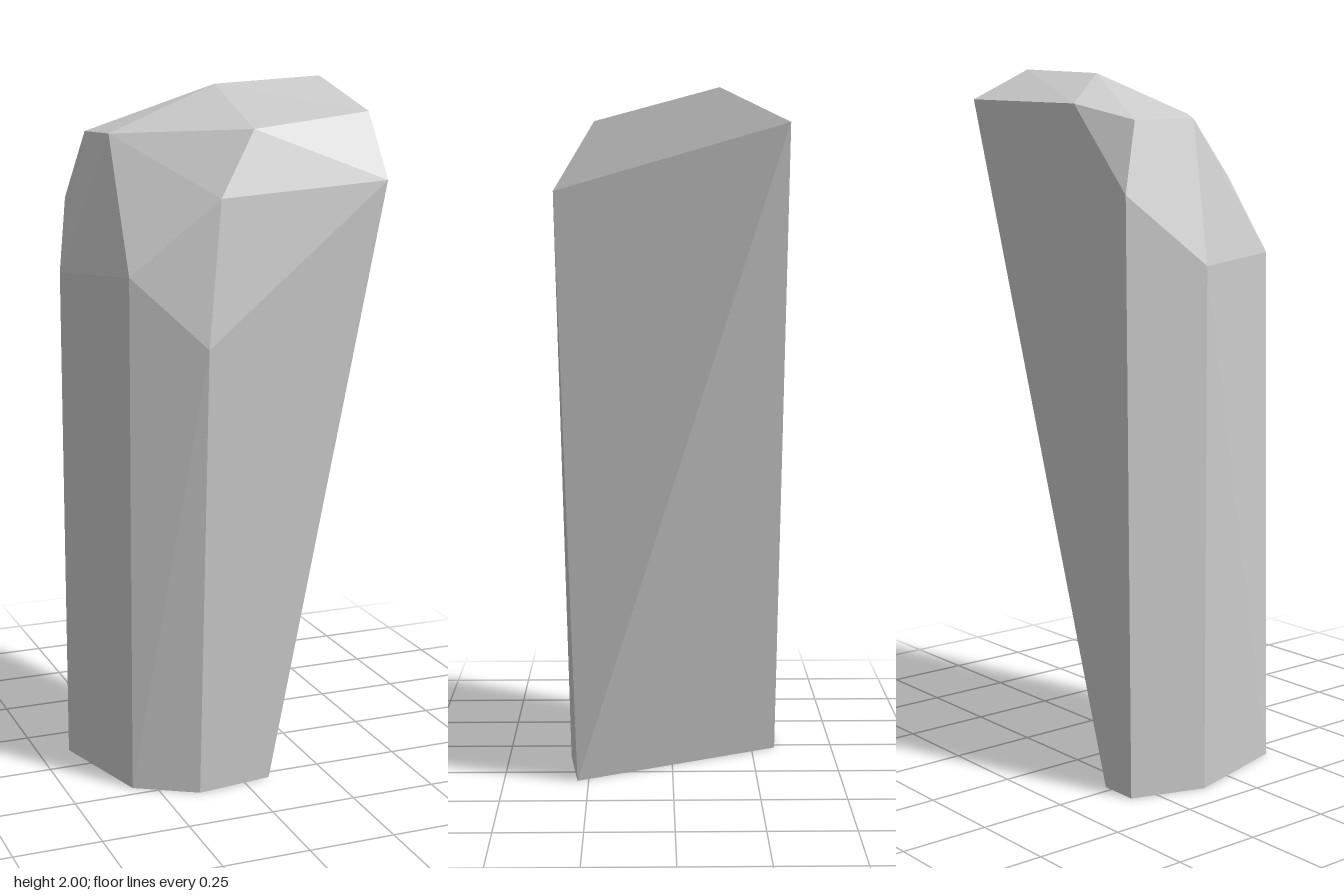
import * as THREE from 'three';
import { ConvexGeometry } from 'three/addons/geometries/ConvexGeometry.js';

// Corner rings of the faceted stone, [x, y, z], bottom to top
const base = [
  [0.08, 0, 0.283], [-0.145, 0, 0.31], [-0.315, 0, 0.21],
  [-0.408, 0, -0.115], [-0.338, 0, -0.322], [-0.225, 0, -0.322],
];
const shoulder = [
  [-0.122, 1.29, 0.325], [-0.306, 1.48, 0.198],
  [-0.408, 1.46, -0.115], [-0.325, 1.65, -0.328],
];
const bevel = [
  [0.406, 1.73, 0.322], [-0.065, 1.69, 0.268], [-0.278, 1.85, -0.052],
  [-0.282, 1.845, -0.262], [-0.095, 1.89, -0.321], [0.405, 1.91, -0.306],
];
const crown = [
  [0.397, 1.912, 0.212], [0.053, 1.87, 0.212],
  [0.065, 1.98, -0.117], [0.397, 2, -0.118],
];

export function createModel() {
  const group = new THREE.Group();
  group.name = 'standingStone';

  // One solid convex rock with flat facets
  const corners = [...base, ...shoulder, ...bevel, ...crown].map((p) => new THREE.Vector3(...p));
  const rock = new THREE.Mesh(
    new ConvexGeometry(corners),
    new THREE.MeshStandardMaterial({ color: 0xcccccc, flatShading: true }),
  );
  rock.name = 'rock';
  group.add(rock);
  return group;
}
